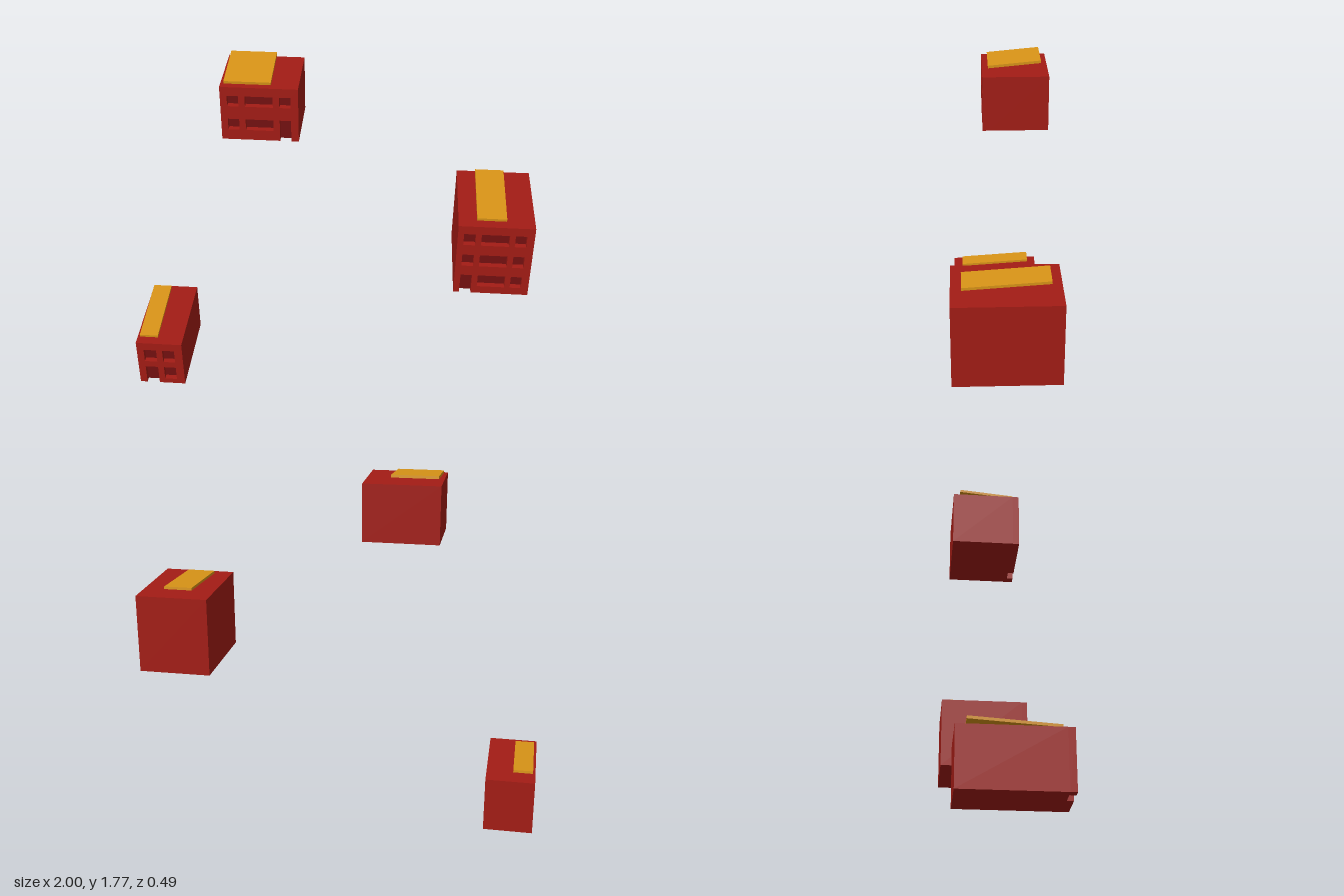
import * as THREE from 'three';

const wallMat = new THREE.MeshStandardMaterial({ color: 0xa31c15 });
const recessMat = new THREE.MeshStandardMaterial({ color: 0x741010 });
const panelMat = new THREE.MeshStandardMaterial({ color: 0xd99417 });
const DEPTH = 0.03; // depth of the window and door recesses

// x: [left, right], y: [bottom, top], z: [back, front]
// cols / rows: window ranges, the lowest row comes first; doorCol: column holding the door
// panel: tilted roof slab
const houses = [
  {
    name: 'smallHouse', x: [-1, -0.757], y: [0, 0.277], z: [-0.243, 0.243],
    cols: [[-0.963, -0.896], [-0.864, -0.8]],
    rows: [[0.03, 0.112], [0.15, 0.23]], doorCol: 0,
    panel: { x: [-0.987, -0.89], z: [-0.195, 0.195], y: [0.28, 0.318] },
  },
  {
    name: 'upperHouse', x: [-0.495, -0.132], y: [1.458, 1.733], z: [-0.243, 0.08],
    cols: [[-0.463, -0.41], [-0.38, -0.25], [-0.22, -0.167]],
    rows: [[1.51, 1.567], [1.634, 1.688]], doorCol: 2,
    panel: { x: [-0.479, -0.26], z: [-0.211, 0.05], y: [1.735, 1.772] },
  },
  {
    name: 'tallHouse', x: [0.637, 1], y: [0.729, 1.127], z: [-0.243, 0.243],
    cols: [[0.666, 0.722], [0.75, 0.883], [0.91, 0.964]],
    rows: [[0.77, 0.837], [0.893, 0.96], [1.018, 1.082]], doorCol: 0,
    panel: { x: [0.725, 0.866], z: [-0.195, 0.195], y: [1.13, 1.169] },
  },
];

function addMesh(group, name, geometry, material) {
  const mesh = new THREE.Mesh(geometry, material);
  mesh.name = name;
  group.add(mesh);
  return mesh;
}

function addBox(group, name, [x0, x1], [y0, y1], [z0, z1], material) {
  const box = addMesh(group, name, new THREE.BoxGeometry(x1 - x0, y1 - y0, z1 - z0), material);
  box.position.set((x0 + x1) / 2, (y0 + y1) / 2, (z0 + z1) / 2);
  return box;
}

function rectanglePoints([x0, x1], [y0, y1]) {
  return [[x0, y0], [x0, y1], [x1, y1], [x1, y0]].map(([x, y]) => new THREE.Vector2(x, y));
}

function makeHouse({ name, x, y, z, cols, rows, doorCol, panel }) {
  const house = new THREE.Group();
  house.name = name;
  const wallBack = z[1] - DEPTH;

  // Solid body behind the front wall
  addBox(house, 'body', x, y, [z[0], wallBack], wallMat);

  // Front wall outline, notched at the bottom for the door
  const door = cols[doorCol];
  const doorTop = rows[0][1];
  const outline = new THREE.Shape([
    [x[0], y[0]], [door[0], y[0]], [door[0], doorTop], [door[1], doorTop],
    [door[1], y[0]], [x[1], y[0]], [x[1], y[1]], [x[0], y[1]],
  ].map(([px, py]) => new THREE.Vector2(px, py)));

  // Windows and door: dark sheets at the back of each opening
  const sheet = [wallBack, wallBack + 0.001];
  rows.forEach((row, r) => cols.forEach((col, c) => {
    if (r === 0 && c === doorCol) {
      addBox(house, 'door', col, [y[0], doorTop], sheet, recessMat);
    } else {
      outline.holes.push(new THREE.Path(rectanglePoints(col, row)));
      addBox(house, 'window', col, row, sheet, recessMat);
    }
  }));
  const wall = new THREE.ExtrudeGeometry(outline, { depth: DEPTH, bevelEnabled: false });
  addMesh(house, 'frontWall', wall, wallMat).position.z = wallBack;

  // Roof slab, rising towards the back
  const thickness = 0.013;
  const run = panel.z[1] - panel.z[0];
  const rise = panel.y[1] - panel.y[0] - thickness;
  const slab = addMesh(house, 'roofPanel',
    new THREE.BoxGeometry(panel.x[1] - panel.x[0], thickness, Math.hypot(run, rise)), panelMat);
  slab.position.set(
    (panel.x[0] + panel.x[1]) / 2, (panel.y[0] + panel.y[1]) / 2, (panel.z[0] + panel.z[1]) / 2);
  slab.rotation.x = Math.atan2(rise, run);
  return house;
}

export function createModel() {
  const model = new THREE.Group();
  model.name = 'houses';
  houses.forEach((spec) => model.add(makeHouse(spec)));
  return model;
}
